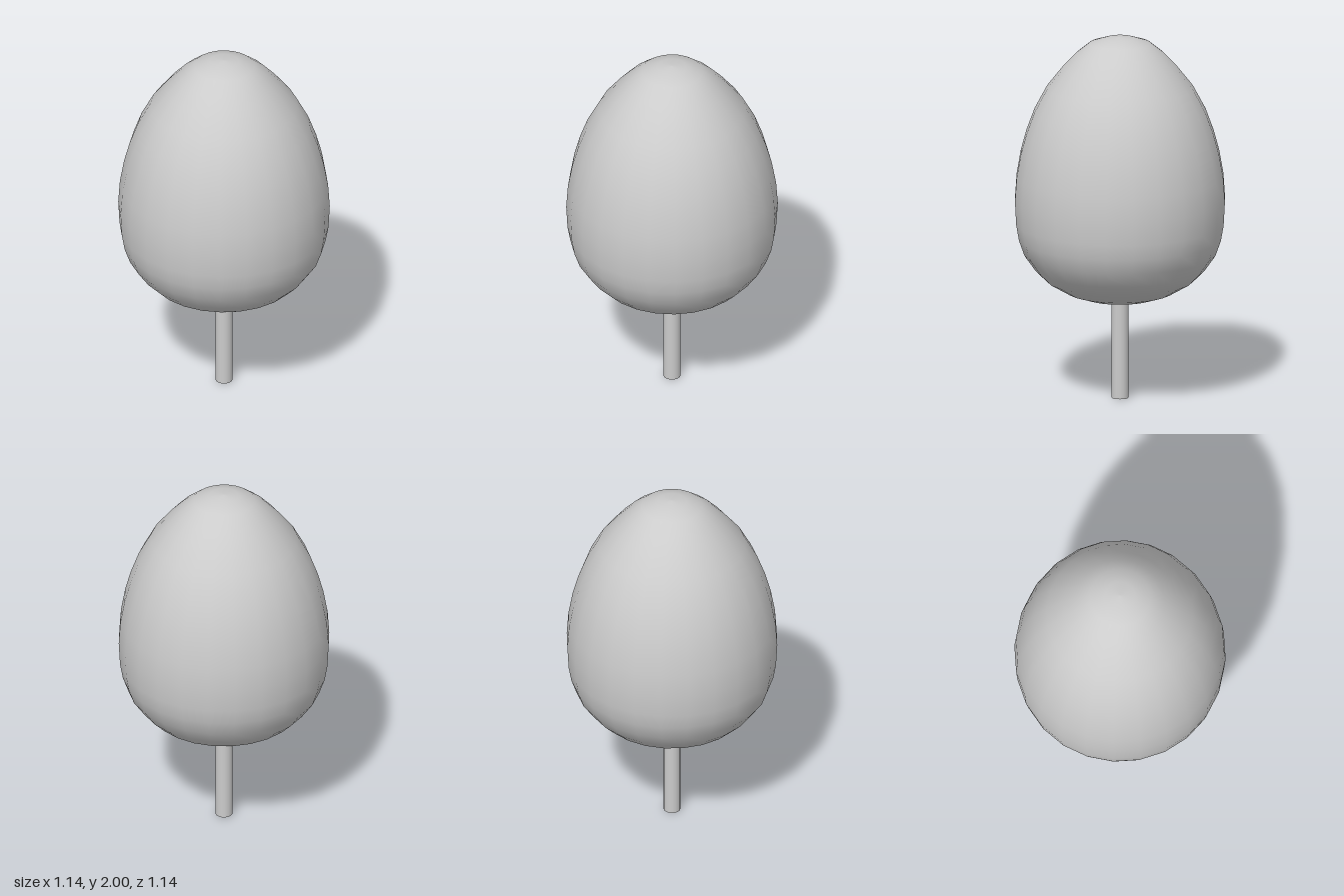
import * as THREE from 'three';

export function createModel() {
  const group = new THREE.Group();
  const material = new THREE.MeshStandardMaterial({ color: 0xcccccc });

  // Crown: egg-shaped profile (radius, height), bottom to top, turned in 24 sides
  const profile = [
    [0, 0.54], [0.1, 0.545], [0.2, 0.56], [0.29, 0.59], [0.4, 0.655],
    [0.46, 0.715], [0.52, 0.8], [0.55, 0.885], [0.565, 0.97], [0.572, 1.1],
    [0.563, 1.23], [0.54, 1.36], [0.51, 1.47], [0.466, 1.59], [0.397, 1.72],
    [0.31, 1.83], [0.24, 1.905], [0.165, 1.965], [0.08, 1.993], [0, 2],
  ].map(([r, y]) => new THREE.Vector2(r, y));
  const crown = new THREE.Mesh(new THREE.LatheGeometry(profile, 24), material);
  crown.name = 'crown';
  group.add(crown);

  // Trunk: slim post, its top end sunk into the crown
  const height = 0.6;
  const trunk = new THREE.Mesh(new THREE.CylinderGeometry(0.046, 0.046, height, 16), material);
  trunk.name = 'trunk';
  trunk.position.y = height / 2;
  group.add(trunk);

  return group;
}
